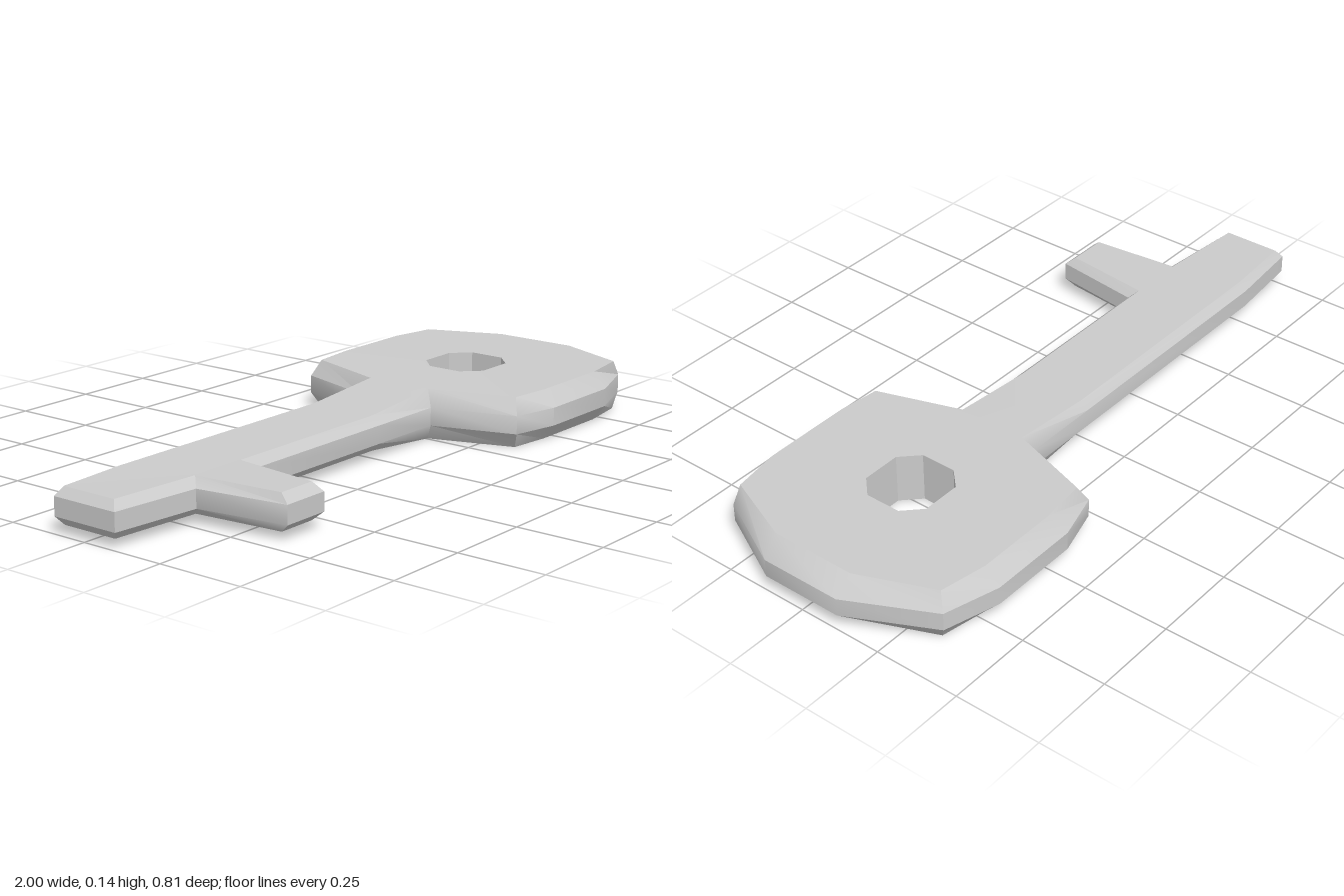
import * as THREE from 'three';
import { toCreasedNormals } from 'three/addons/utils/BufferGeometryUtils.js';

const MID = 0.072; // height of the middle plane

// Half thickness of the flat faces: thin shaft swelling into the thicker head
const half = (x) => 0.05 + 0.022 * THREE.MathUtils.clamp(x / 0.255, 0, 1);
// Half height of the upright band around the rim
const band = () => 0.026;

// Rim points: outer x, z, then inner x, z of the bevel (clockwise from above)
const RIM = [
  [-1, -0.1, -0.98, -0.085], [-0.77, -0.122, -0.77, -0.1],
  [0, -0.122, 0, -0.1], [0.235, -0.122, 0.255, -0.1],
  [0.31, -0.365, 0.335, -0.345], [0.45, -0.405, 0.47, -0.36],
  [0.72, -0.405, 0.72, -0.36], [0.88, -0.36, 0.857, -0.335],
  [1, -0.12, 0.945, -0.12], [1, 0.12, 0.945, 0.13],
  [0.89, 0.34, 0.86, 0.34], [0.72, 0.4, 0.72, 0.362],
  [0.45, 0.4, 0.46, 0.362], [0.31, 0.37, 0.335, 0.348],
  [0.235, 0.13, 0.255, 0.105], [0, 0.13, 0, 0.105],
  [-0.525, 0.13, -0.545, 0.105], [-0.56, 0.39, -0.575, 0.363],
  [-0.7, 0.39, -0.69, 0.363], [-0.74, 0.13, -0.715, 0.105],
  [-1, 0.105, -0.98, 0.085],
];

// Square hole with cut corners (counter-clockwise from above)
const HOLE = [
  [0.475, -0.05], [0.475, 0.055], [0.525, 0.105], [0.64, 0.105],
  [0.69, 0.055], [0.69, -0.05], [0.64, -0.1], [0.525, -0.1],
];

export function createModel() {
  const positions = [];
  const tri = (...corners) => corners.forEach((c) => positions.push(...c));

  // Join closed loops of points, lowest first
  const skin = (loops) => {
    for (let k = 0; k < loops.length - 1; k++) {
      const low = loops[k], up = loops[k + 1], n = low.length;
      for (let i = 0; i < n; i++) {
        const j = (i + 1) % n;
        tri(low[i], up[i], up[j]);
        tri(low[i], up[j], low[j]);
      }
    }
  };
  const loop = (points, height, sign) =>
    points.map(([x, z]) => [x, MID + sign * height(x), z]);

  // Fill a flat region on both the top and the underside
  const caps = (outline, holes = []) => {
    const toVec = (list) => list.map(([x, z]) => new THREE.Vector2(x, z));
    const all = [outline, ...holes].flat();
    for (const face of THREE.ShapeUtils.triangulateShape(toVec(outline), holes.map(toVec))) {
      let [a, b, c] = face.map((i) => all[i]);
      const area = (b[0] - a[0]) * (c[1] - a[1]) - (b[1] - a[1]) * (c[0] - a[0]);
      if (area > 0) [b, c] = [c, b];
      tri(...loop([a, b, c], half, 1));
      tri(...loop([a, c, b], half, -1));
    }
  };

  const outer = RIM.map(([x, z]) => [x, z]);
  const inner = RIM.map(([, , x, z]) => [x, z]);

  // Bevelled rim and the wall of the hole
  skin([loop(inner, half, -1), loop(outer, band, -1), loop(outer, band, 1), loop(inner, half, 1)]);
  skin([loop(HOLE, half, -1), loop(HOLE, half, 1)]);

  // Flat faces: shaft with tooth, sloping neck, head around the hole
  caps([...inner.slice(0, 3), ...inner.slice(15)]);
  caps([inner[2], inner[3], inner[14], inner[15]]);
  caps(inner.slice(3, 15), [HOLE]);

  const geometry = new THREE.BufferGeometry();
  geometry.setAttribute('position', new THREE.Float32BufferAttribute(positions, 3));

  const key = new THREE.Mesh(
    toCreasedNormals(geometry, 0.55),
    new THREE.MeshStandardMaterial({ color: 0xcccccc })
  );
  key.name = 'keyBody';

  const group = new THREE.Group();
  group.name = 'key';
  group.add(key);
  return group;
}
